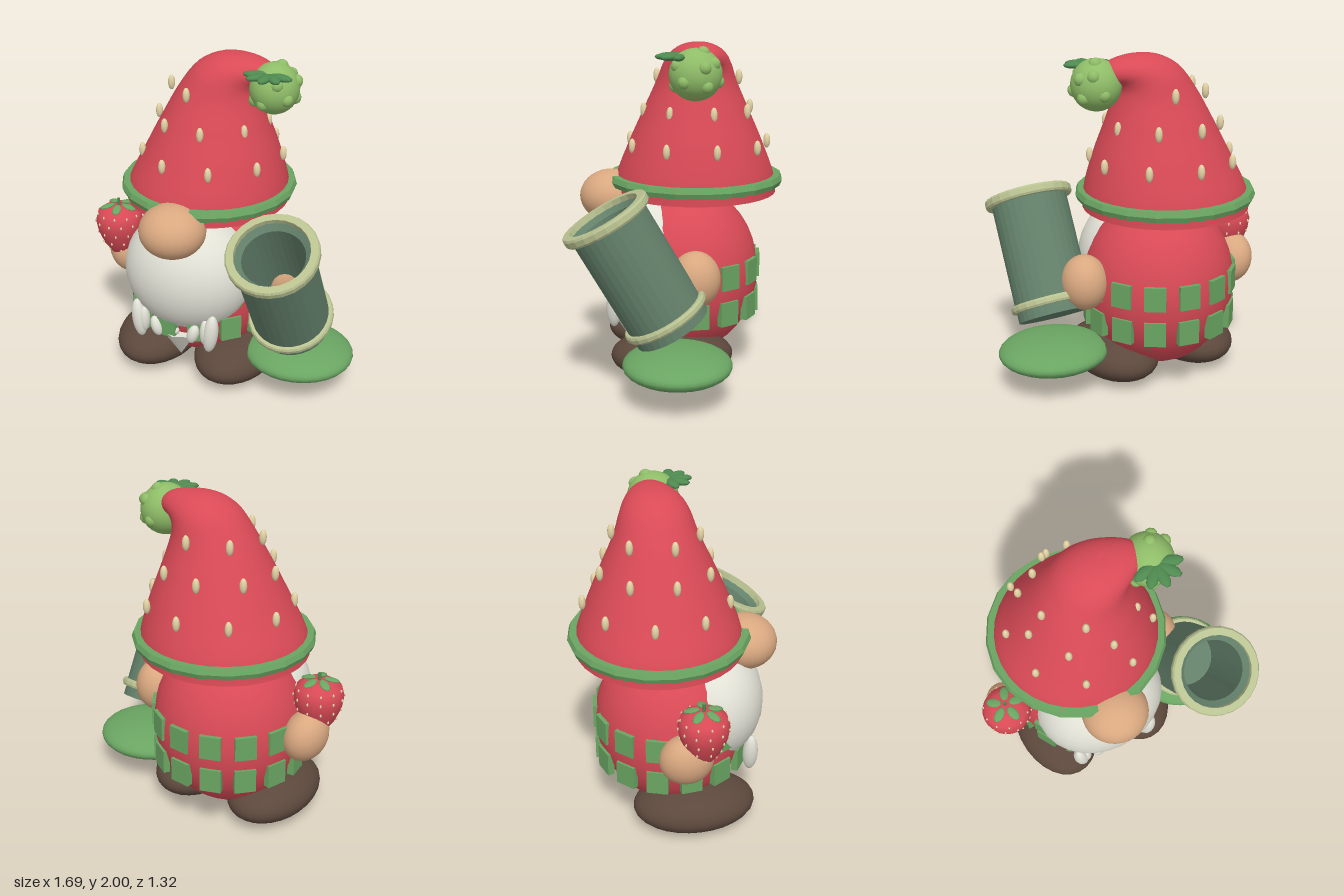
import * as THREE from 'three';
import { ParametricGeometry } from 'three/addons/geometries/ParametricGeometry.js';

const mat = (color) => new THREE.MeshStandardMaterial({ color });
const RED = mat(0xd94a56), GREEN = mat(0x6aa562), SKIN = mat(0xd9a880), BEARD = mat(0xe2e1d6);
const SHOE = mat(0x5c483c), PIPE = mat(0x63806a), RIM = mat(0xb9c291), SEED = mat(0xe3d3a4);
const BERRY = mat(0x8fbd68), LEAF = mat(0x4f8a50);
PIPE.side = RED.side = THREE.DoubleSide;

function add(parent, name, geometry, material, x = 0, y = 0, z = 0) {
  const mesh = new THREE.Mesh(geometry, material);
  mesh.name = name;
  mesh.position.set(x, y, z);
  parent.add(mesh);
  return mesh;
}

const ball = new THREE.SphereGeometry(1, 28, 18);
const smallBall = new THREE.SphereGeometry(1, 10, 8);

function ellipsoid(parent, name, material, [x, y, z], [rx, ry, rz], geometry = ball) {
  const mesh = add(parent, name, geometry, material, x, y, z);
  mesh.scale.set(rx, ry, rz);
  return mesh;
}

function group(parent, name, x = 0, y = 0, z = 0) {
  const g = new THREE.Group();
  g.name = name;
  g.position.set(x, y, z);
  parent.add(g);
  return g;
}

const lathe = (points, sides = 24) =>
  new THREE.LatheGeometry(points.map(([r, y]) => new THREE.Vector2(r, y)), sides);

const CX = -0.155; // centre line of the figure

// Hat: elliptical rings whose planes tilt as the tip folds over to the side
function hat(root) {
  const g = group(root, 'hat');
  // left x, left y, right x, right y, half depth
  const rings = [
    [-0.65, 1.1, 0.33, 1.1, 0.485], [-0.635, 1.2, 0.325, 1.2, 0.475], [-0.535, 1.4, 0.275, 1.4, 0.4],
    [-0.43, 1.6, 0.205, 1.6, 0.312], [-0.315, 1.8, 0.16, 1.74, 0.235], [-0.21, 1.93, 0.15, 1.8, 0.2],
    [-0.09, 1.99, 0.16, 1.83, 0.17], [0.06, 2.0, 0.17, 1.84, 0.135], [0.2, 1.97, 0.19, 1.84, 0.09],
    [0.28, 1.9, 0.22, 1.84, 0.04],
  ];
  const left = new THREE.CatmullRomCurve3(rings.map((r) => new THREE.Vector3(r[0], r[1], r[4])));
  const right = new THREE.CatmullRomCurve3(rings.map((r) => new THREE.Vector3(r[2], r[3], 0)));
  const surface = (u, v, target) => {
    const a = left.getPoint(v), b = right.getPoint(v), t = u * Math.PI * 2;
    const k = (1 + Math.cos(t)) / 2;
    target.set(a.x + (b.x - a.x) * k, Math.min(2, a.y + (b.y - a.y) * k), -0.135 - a.z * Math.sin(t));
  };
  add(g, 'hatCone', new ParametricGeometry(surface, 32, 36), RED);
  const base = add(g, 'hatUnderside', new THREE.CircleGeometry(0.487, 32), RED, -0.16, 1.1, -0.135);
  base.rotation.x = Math.PI / 2;

  const band = lathe([[0.46, 1.15], [0.515, 1.15], [0.527, 1.18], [0.515, 1.21], [0.46, 1.21]], 20);
  add(g, 'hatBand', band.toNonIndexed(), GREEN, CX, 0, -0.135).geometry.computeVertexNormals();

  // Seeds: height, ring radius, count, starting angle
  for (const [y, r, n, start] of [[1.4, 0.42, 9, -90], [1.6, 0.328, 8, -101], [1.79, 0.245, 6, -76]]) {
    for (let i = 0; i < n; i++) {
      const a = THREE.MathUtils.degToRad(start + (i * 360) / n);
      ellipsoid(g, 'hatSeed', SEED, [-0.13 + r * Math.cos(a), y, -0.145 + r * Math.sin(a)],
        [0.021, 0.045, 0.021], smallBall);
    }
  }
}

// Unripe berry hanging from the hat tip
function pompom(root) {
  const g = group(root, 'hatBerry', 0.268, 1.84, -0.095);
  ellipsoid(g, 'berry', BERRY, [0, 0, 0], [0.142, 0.147, 0.15]);
  const bumps = [[-0.2, -0.5, 0.85], [0.75, -0.25, 0.55], [0.9, 0.35, -0.3], [0.8, -0.45, -0.4], [0.1, -0.3, -0.95],
    [0.5, 0.5, -0.75], [-0.7, -0.5, 0.4], [0.4, 0.4, 0.8], [0.2, 0.95, -0.3]];
  for (const b of bumps) {
    const p = new THREE.Vector3(...b).setLength(0.128);
    ellipsoid(g, 'berryBump', BERRY, p.toArray(), [0.038, 0.038, 0.038], smallBall);
  }
  for (const deg of [-75, -38, 0, 38, 75]) {
    const a = THREE.MathUtils.degToRad(deg), r = 0.075;
    const leaf = ellipsoid(g, 'berryLeaf', LEAF, [r * Math.sin(a), 0.1, 0.08 + r * Math.cos(a)],
      [0.034, 0.02, 0.075], smallBall);
    leaf.rotation.y = a;
  }
}

// Round body with two rows of square patches
function body(root) {
  const g = group(root, 'body', CX, 0.61, -0.07);
  ellipsoid(g, 'torso', RED, [0, 0, 0], [0.455, 0.52, 0.45]);
  const patch = new THREE.BoxGeometry(0.125, 0.145, 0.04);
  for (const [y, r] of [[0.43, 0.433], [0.65, 0.44]]) {
    for (let i = 0; i < 14; i++) {
      const a = ((6 + 90) * Math.PI) / 180 + (i * Math.PI * 2) / 14;
      const p = add(g, 'patch', patch, GREEN, r * Math.sin(a), y - 0.61, r * Math.cos(a));
      p.rotation.y = a;
    }
  }
}

function face(root) {
  const g = group(root, 'face', CX, 0, 0);
  ellipsoid(g, 'nose', SKIN, [0, 1.075, 0.37], [0.195, 0.158, 0.19]);
  ellipsoid(g, 'beard', BEARD, [0, 0.725, 0.15], [0.4, 0.375, 0.33]);
  for (const s of [-1, 1]) {
    const outer = ellipsoid(g, 'beardLock', BEARD, [s * 0.235, 0.44, 0.37], [0.045, 0.125, 0.045]);
    outer.rotation.z = s * -0.12;
    ellipsoid(g, 'beardSideLock', BEARD, [s * 0.2, 0.44, 0.37], [0.032, 0.085, 0.035]);
    const inner = ellipsoid(g, 'beardInnerLock', BEARD, [s * 0.12, 0.41, 0.37], [0.035, 0.065, 0.035]);
    inner.rotation.z = s * -0.3;
  }
  ellipsoid(g, 'beardCurl', BEARD, [0, 0.4, 0.36], [0.024, 0.024, 0.024], smallBall);
  const tip = add(g, 'beardTip', new THREE.ConeGeometry(0.11, 0.18, 8), BEARD, 0, 0.285, 0.29);
  tip.rotation.x = Math.PI;
}

// Strawberry held up by the right hand
function strawberry(root) {
  const g = group(root, 'strawberry', -0.7, 0.63, 0.02);
  const profile = [[0.001, 0], [0.05, 0.025], [0.1, 0.1], [0.135, 0.185], [0.145, 0.25], [0.13, 0.305], [0.08, 0.34], [0.001, 0.345]];
  add(g, 'fruit', lathe(profile), RED);
  for (const [y, r, n] of [[0.06, 0.075, 6], [0.12, 0.11, 9], [0.185, 0.136, 11], [0.25, 0.146, 12], [0.3, 0.132, 11]]) {
    for (let i = 0; i < n; i++) {
      const a = ((i + (y * 50) / 6) * Math.PI * 2) / n;
      ellipsoid(g, 'fruitSeed', SEED, [r * Math.sin(a), y, r * Math.cos(a)], [0.006, 0.01, 0.006], smallBall);
    }
  }
  for (let i = 0; i < 5; i++) {
    const a = (i * Math.PI * 2) / 5 + 0.3;
    const leaf = ellipsoid(g, 'fruitLeaf', GREEN, [0.07 * Math.sin(a), 0.343, 0.07 * Math.cos(a)],
      [0.028, 0.01, 0.048], smallBall);
    leaf.rotation.set(0.25, a, 0, 'YXZ');
  }
  add(g, 'fruitStem', new THREE.CylinderGeometry(0.009, 0.009, 0.05, 8), LEAF, 0, 0.365, 0);
}

// Hollow pipe leaning forward on the left side
function pipe(root) {
  const g = group(root, 'pipe', 0.475, 0.445, 0.05);
  g.rotation.x = Math.PI / 6;
  const wall = [[0.001, 0], [0.225, 0], [0.225, 0.06], [0.228, 0.06], [0.228, 0.74], [0.222, 0.735], [0.18, 0.70], [0.18, 0.12], [0.001, 0.12]];
  const ring = (y, h, r, inner) =>
    lathe([[inner, y], [r - 0.008, y], [r, y + 0.012], [r, y + h - 0.012], [r - 0.008, y + h], [inner, y + h], [inner, y]]);
  const faceted = (geo) => {
    const out = geo.toNonIndexed();
    out.computeVertexNormals();
    return out;
  };
  add(g, 'pipeWall', faceted(lathe(wall, 32)), PIPE);
  add(g, 'pipeTopRim', faceted(ring(0.705, 0.055, 0.265, 0.215)), RIM);
  add(g, 'pipeBottomRim', faceted(ring(0.06, 0.045, 0.255, 0.21)), RIM);
}

export function createModel() {
  const root = new THREE.Group();
  root.name = 'gardenGnome';
  hat(root);
  pompom(root);
  body(root);
  face(root);
  // Hands and shoes
  ellipsoid(root, 'leftHand', SKIN, [0.355, 0.685, -0.09], [0.135, 0.165, 0.145]);
  const hand = ellipsoid(root, 'rightHand', SKIN, [-0.675, 0.65, -0.07], [0.125, 0.16, 0.155]);
  hand.rotation.z = 0.25;
  for (const s of [-1, 1]) {
    ellipsoid(root, 'shoe', SHOE, [CX + s * 0.265, 0.152, 0.025], [0.25, 0.147, 0.365]);
  }
  strawberry(root);
  pipe(root);
  // Flat leaf pad under the pipe
  ellipsoid(root, 'leafPad', GREEN, [0.51, 0.235, 0.025], [0.33, 0.097, 0.312]);
  return root;
}
